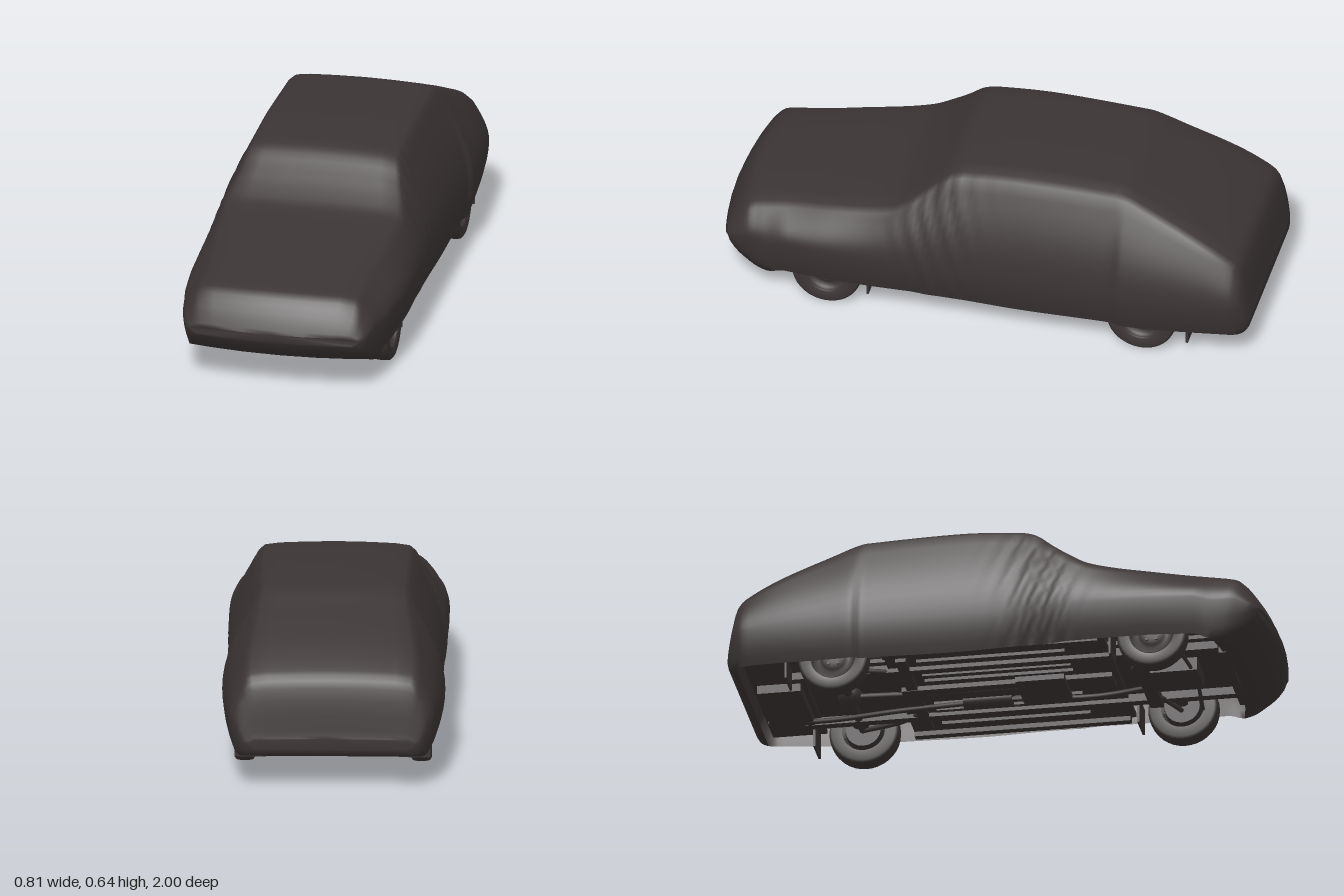
import * as THREE from 'three';

const cloth = new THREE.MeshStandardMaterial({ color: 0x3b3434, side: THREE.DoubleSide });
cloth.name = 'dark charcoal';

// Stations along the cover: z, top y, hem y, widest half width, half width at the top edge
const ROWS = [
  [1.0, .228, .20, .31, .28], [.985, .265, .175, .335, .30], [.95, .325, .14, .35, .31],
  [.92, .357, .122, .36, .31], [.88, .371, .10, .368, .305], [.84, .378, .092, .375, .305],
  [.78, .388, .112, .385, .305], [.6, .415, .115, .40, .32], [.45, .44, .115, .402, .33],
  [.35, .465, .115, .40, .335], [.28, .505, .115, .398, .325], [.2, .565, .11, .396, .30],
  [.14, .612, .11, .395, .287], [.09, .628, .11, .395, .282], [-.15, .643, .105, .395, .28],
  [-.49, .635, .11, .395, .275], [-.53, .626, .11, .407, .275], [-.58, .605, .11, .405, .28],
  [-.93, .43, .12, .375, .315], [-.96, .40, .118, .362, .31], [-.98, .33, .12, .345, .30],
  [-.995, .22, .135, .32, .29], [-1, .19, .15, .30, .28],
];

// Monotone cubic interpolation between stations, so nothing overshoots
function slope(i, k) {
  if (i === 0 || i === ROWS.length - 1) return 0;
  const d = n => (ROWS[n + 1][k] - ROWS[n][k]) / (ROWS[n + 1][0] - ROWS[n][0]);
  const a = d(i - 1), b = d(i);
  return a * b <= 0 ? 0 : 2 * a * b / (a + b);
}
function station(i, t) {
  const p = ROWS[i], q = ROWS[i + 1], h = q[0] - p[0];
  return p.map((v, k) => k === 0 ? v + h * t
    : v * (1 + 2 * t) * (1 - t) ** 2 + slope(i, k) * h * t * (1 - t) ** 2
    + q[k] * t * t * (3 - 2 * t) + slope(i + 1, k) * h * t * t * (t - 1));
}

// Half cross-section from the top centre round to the bottom centre
function halfSection([z, top, hem, w, wt]) {
  const h = top - hem, s = Math.min(1, h / .2), pts = [];
  for (const [f, drop] of [[0, 0], [.4, .002], [.75, .006], [.93, .013], [1, .03]]) {
    pts.push([wt * f, top - drop * s]);
  }
  const y0 = top - .03 * s, ym = Math.min(.25, hem + h * .5);
  for (let k = 1; k <= 8; k++) {
    const t = k / 8;
    pts.push([wt + (w - wt) * Math.sin(t * Math.PI / 2), y0 + (ym - y0) * t]);
  }
  for (let k = 1; k <= 4; k++) {
    const t = k / 4;
    pts.push([w - .025 * t * t, ym + (hem - ym) * t]);
  }
  for (const f of [.75, .4, 0]) pts.push([(w - .025) * f, hem]);
  return pts.map(([x, y], k) => {
    // hanging folds beside the windscreen pillar
    const fold = k > 4 && k < 16
      ? .006 * Math.exp(-(((z - .17) / .13) ** 2)) * Math.sin((z - (y - .3) * .35) * 85) : 0;
    const bow = .035 * THREE.MathUtils.smoothstep(z, -.1, .9) * (x / .33) ** 2;
    return [x + fold, y, z - bow];
  });
}

function coverGeometry() {
  const stations = [];
  for (let i = 0; i < ROWS.length - 1; i++) {
    const n = Math.max(2, Math.ceil((ROWS[i][0] - ROWS[i + 1][0]) / .02));
    for (let k = 0; k < n; k++) stations.push(station(i, k / n));
  }
  stations.push(ROWS[ROWS.length - 1]);
  const N = 38, pos = [], idx = [];
  for (const st of stations) {
    const half = halfSection(st);
    for (let j = 0; j < N; j++) {
      const [x, y, z] = half[j < 20 ? j : N - j];
      pos.push(j < 20 ? x : -x, y, z);
    }
  }
  for (let i = 0; i < stations.length - 1; i++) {
    const z = stations[i][0];
    for (let j = 0; j < N; j++) {
      // the underside is only wrapped at the nose and tail
      if (j >= 16 && j <= 21 && z < .845 && z > -.955) continue;
      const a = i * N + j, b = i * N + (j + 1) % N;
      idx.push(a, b, a + N, b, b + N, a + N);
    }
  }
  const last = (stations.length - 1) * N;
  for (let j = 1; j < N - 1; j++) {
    idx.push(0, j + 1, j, last, last + j, last + j + 1);
  }
  const g = new THREE.BufferGeometry();
  g.setAttribute('position', new THREE.Float32BufferAttribute(pos, 3));
  g.setIndex(idx);
  g.computeVertexNormals();
  return g;
}

export function createModel() {
  const model = new THREE.Group();
  const add = (name, geo, x = 0, y = 0, z = 0, parent = model) => {
    const m = new THREE.Mesh(geo, cloth);
    m.name = name;
    m.position.set(x, y, z);
    parent.add(m);
    return m;
  };
  const box = (name, w, h, d, x, y, z) => add(name, new THREE.BoxGeometry(w, h, d), x, y, z);
  const pipe = (name, r, ...pts) => add(name, new THREE.TubeGeometry(
    new THREE.CatmullRomCurve3(pts.map(p => new THREE.Vector3(...p))), 24, r, 8));

  add('carCover', coverGeometry());

  // Wheels: tyre, dished rim, hub and wheel nuts
  const tyre = [[.08, -.036], [.118, -.037], [.127, -.03], [.13, -.015], [.13, .015],
    [.127, .03], [.118, .037], [.085, .036], [.08, .028]].map(p => new THREE.Vector2(...p));
  const rim = [[.08, .03], [.076, .018], [.055, .012], [.045, .024], [.02, .026], [0, .026]]
    .map(p => new THREE.Vector2(...p));
  for (const side of [1, -1]) {
    for (const [end, z] of [['front', .58], ['rear', -.6]]) {
      const wheel = new THREE.Group();
      wheel.name = end + 'Wheel';
      wheel.position.set(side * (end === 'front' ? .327 : .322), .13, z);
      wheel.rotation.z = -side * Math.PI / 2;
      add('tyre', new THREE.LatheGeometry(tyre, 36), 0, 0, 0, wheel);
      add('rim', new THREE.LatheGeometry(rim, 28), 0, 0, 0, wheel);
      add('brakeDrum', new THREE.CylinderGeometry(.07, .065, .04, 20), 0, -.02, 0, wheel);
      for (let k = 0; k < 5; k++) {
        const a = k * Math.PI * .4;
        add('wheelNut', new THREE.CylinderGeometry(.005, .005, .01, 6),
          .03 * Math.cos(a), .028, .03 * Math.sin(a), wheel);
      }
      model.add(wheel);
    }
    // Mud flaps behind the wheels
    box('frontMudFlap', .115, .1, .008, side * .3, .11, .425);
    box('rearMudFlap', .115, .1, .008, side * .3, .11, -.775);
    // Rails, sills and floor ribs
    box('chassisRail', .035, .03, 1.6, side * .2, .13, 0);
    box('sill', .03, .035, .8, side * .35, .13, -.02);
    for (const x of [.1, .15, .27]) box('floorRib', .018, .012, .55, side * x, .124, -.03);
    // Suspension arms and springs
    pipe('frontArm', .009, [side * .28, .11, .58], [side * .18, .115, .53], [side * .08, .12, .46]);
    pipe('trailingArm', .01, [side * .27, .12, -.6], [side * .22, .12, -.45], [side * .16, .13, -.34]);
    add('spring', new THREE.CylinderGeometry(.03, .03, .1, 12), side * .23, .17, -.6);
    add('strut', new THREE.CylinderGeometry(.025, .03, .12, 12), side * .24, .18, .58);
  }

  // Floor pan, narrow between the wheels
  box('cabinFloor', .7, .015, .82, 0, .138, -.01);
  box('frontFloor', .46, .015, .5, 0, .16, .64);
  box('rearFloor', .46, .015, .34, 0, .16, -.57);
  box('bootFloor', .64, .015, .2, 0, .15, -.84);
  box('tunnel', .1, .03, .78, 0, .128, -.01);

  // Running gear and exhaust
  box('engineSump', .16, .05, .2, 0, .125, .6);
  box('frontCrossmember', .44, .03, .05, 0, .115, .5);
  box('radiatorSupport', .46, .03, .03, 0, .105, .82);
  box('gearboxPlate', .2, .02, .18, 0, .105, .12);
  box('fuelTank', .3, .05, .16, .02, .135, -.84);
  box('floorCrossmember', .6, .02, .04, 0, .125, -.36);
  pipe('rearAxle', .016, [-.29, .13, -.6], [0, .13, -.6], [.29, .13, -.6]);
  add('differential', new THREE.SphereGeometry(.045, 16, 12), 0, .135, -.6);
  pipe('driveShaft', .012, [0, .12, .1], [0, .12, -.2], [0, .13, -.58]);
  pipe('exhaustPipe', .01, [.07, .12, .55], [.1, .108, .3], [.07, .106, 0], [.1, .11, -.4],
    [.14, .11, -.7], [.17, .13, -.93]);
  const silencer = add('silencer', new THREE.CylinderGeometry(.028, .028, .18, 16), .075, .112, -.1);
  silencer.rotation.x = Math.PI / 2;
  pipe('steeringRod', .007, [-.27, .105, .66], [0, .11, .68], [.27, .105, .66]);
  return model;
}
